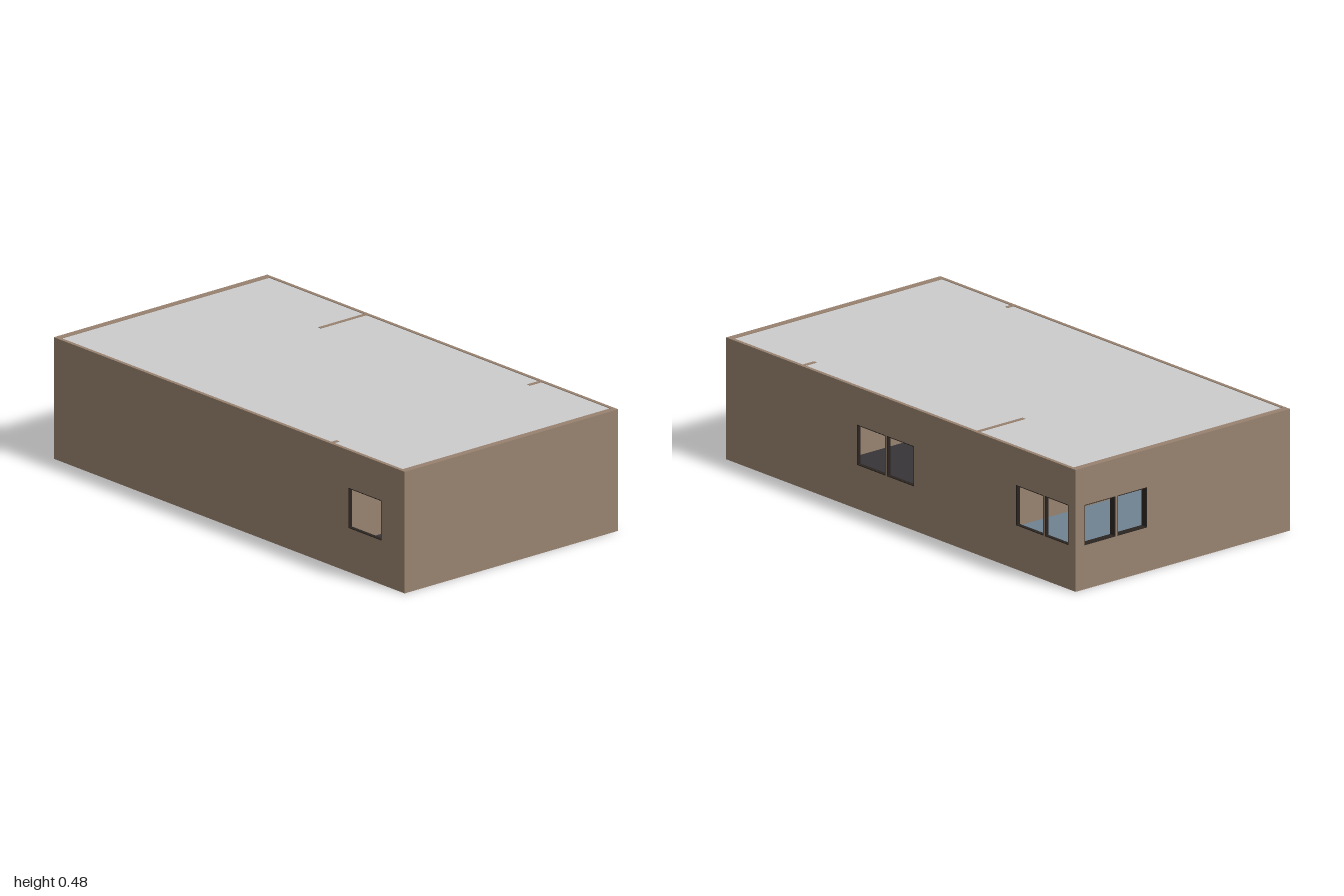
import * as THREE from 'three';

const HX = 0.532, H = 0.484, SIDE_T = 0.015, END_T = 0.028;
const SILL = 0.175, HEAD = 0.335;

const paint = (color) => new THREE.MeshStandardMaterial({ color });

export function createModel() {
  const root = new THREE.Group();
  const wallMat = paint(0x98826f);
  const linerMat = paint(0x2b2521);
  const backFloorMat = paint(0x6f8291);
  const mainFloorMat = paint(0x373438);
  const ceilingMat = paint(0xcccccc);

  // box given by its minimum and maximum corners
  function slab(parent, name, mat, [x0, y0, z0], [x1, y1, z1]) {
    const mesh = new THREE.Mesh(new THREE.BoxGeometry(x1 - x0, y1 - y0, z1 - z0), mat);
    mesh.position.set((x0 + x1) / 2, (y0 + y1) / 2, (z0 + z1) / 2);
    mesh.name = name;
    parent.add(mesh);
  }

  // wall running along local x, with window panes cut out and lined
  function wall(name, half, depth, panes) {
    const group = new THREE.Group();
    group.name = name;
    const rect = (target, a, b, c, d) =>
      target.moveTo(a, c).lineTo(b, c).lineTo(b, d).lineTo(a, d).closePath();
    const shape = rect(new THREE.Shape(), -half, half, 0, H);
    const e = 0.003;
    for (const [a, b] of panes) {
      shape.holes.push(rect(new THREE.Path(), a, b, SILL, HEAD));
      slab(group, 'windowSill', linerMat, [a, SILL, 0], [b, SILL + e, depth]);
      slab(group, 'windowHead', linerMat, [a, HEAD - e, 0], [b, HEAD, depth]);
      slab(group, 'windowJamb', linerMat, [a, SILL, 0], [a + e, HEAD, depth]);
      slab(group, 'windowJamb', linerMat, [b - e, SILL, 0], [b, HEAD, depth]);
    }
    const geo = new THREE.ExtrudeGeometry(shape, { depth, bevelEnabled: false });
    const mesh = new THREE.Mesh(geo, wallMat);
    mesh.name = name + 'Panel';
    group.add(mesh);
    root.add(group);
    return group;
  }

  // outer walls
  const inner = HX - SIDE_T;
  wall('frontWall', inner, END_T, []).position.z = 1 - END_T;
  wall('backWall', inner, END_T, [[0.178, 0.325], [0.335, 0.488]]).position.z = -1;
  const left = wall('leftWall', 1, SIDE_T,
    [[-0.96, -0.825], [-0.815, -0.66], [-0.075, 0.08], [0.088, 0.25]]);
  left.rotation.y = -Math.PI / 2;
  left.position.x = HX;
  const right = wall('rightWall', 1, SIDE_T, [[0.68, 0.868]]);
  right.rotation.y = -Math.PI / 2;
  right.position.x = -inner;

  // raised floors of the two areas
  const zEnd = 1 - END_T, split = -0.425;
  slab(root, 'backFloor', backFloorMat, [-inner, 0.06, -zEnd], [inner, 0.066, split]);
  slab(root, 'mainFloor', mainFloorMat, [-inner, 0.06, split], [inner, 0.066, zEnd]);

  // ceiling just below the wall tops
  slab(root, 'ceiling', ceilingMat, [-inner, 0.476, -zEnd], [inner, 0.482, zEnd]);

  // partitions with door gaps, and the parts of their tops that show above the ceiling
  const partitions = [
    { z: split, runs: [[-0.165, inner]], tops: [[0.29, inner]] },
    { z: 0.572, runs: [[-inner, -0.275], [-0.1, inner]], tops: [[-inner, -0.49], [0.46, inner]] },
  ];
  for (const { z, runs, tops } of partitions) {
    for (const [a, b] of runs)
      slab(root, 'partition', wallMat, [a, 0.058, z - 0.008], [b, 0.477, z + 0.008]);
    for (const [a, b] of tops)
      slab(root, 'partitionTop', wallMat, [a, 0.477, z - 0.008], [b, 0.4835, z + 0.008]);
  }
  return root;
}
